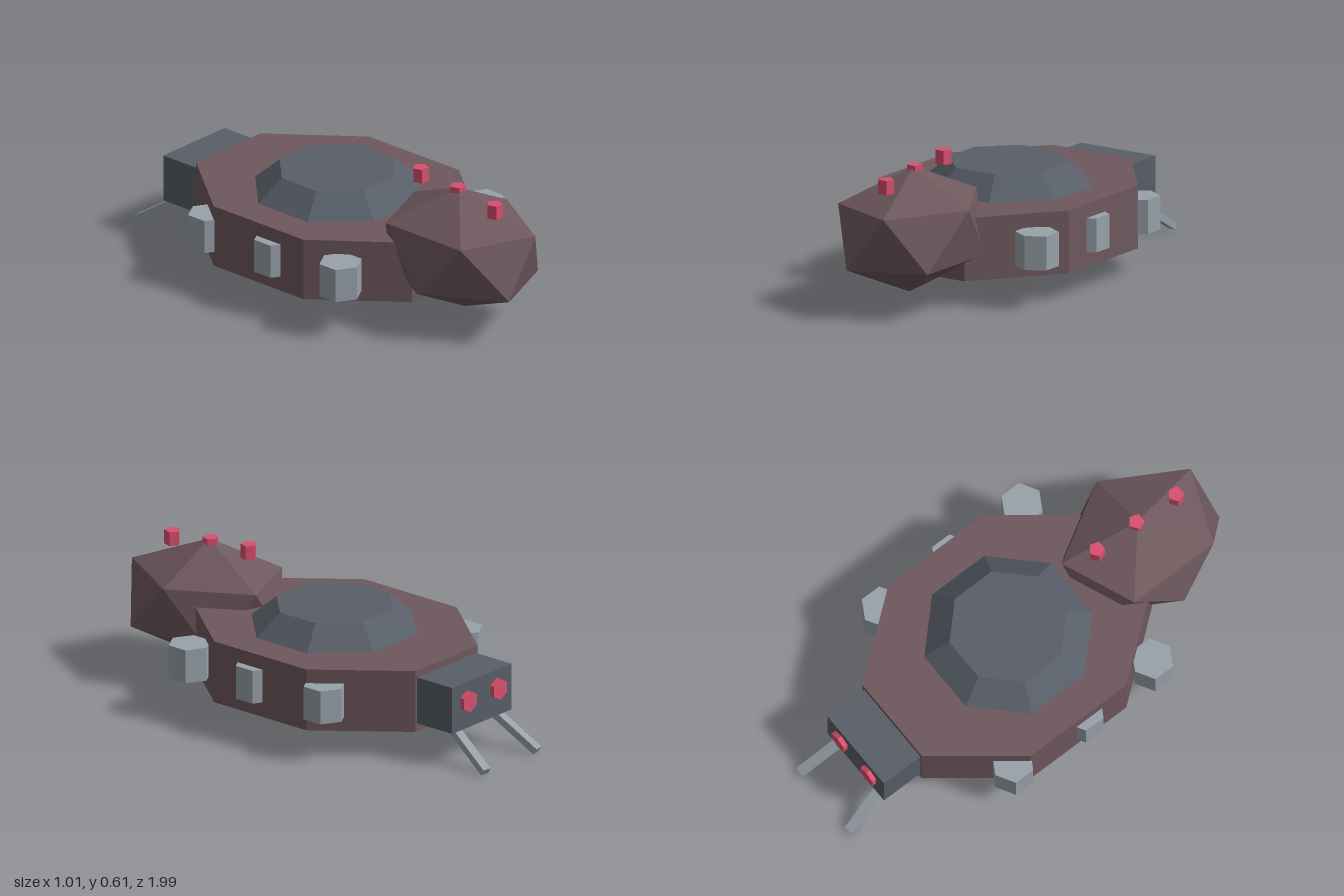
import * as THREE from 'three';

const paint = (color) => new THREE.MeshStandardMaterial({ color, flatShading: true });

export function createModel() {
  const model = new THREE.Group();
  const shell = paint(0x6e585d), slate = paint(0x585e68), steel = paint(0x98a1aa), red = paint(0xd9506e);

  const add = (name, geometry, material, x, y, z) => {
    const mesh = new THREE.Mesh(geometry, material);
    mesh.name = name;
    mesh.position.set(x, y, z);
    model.add(mesh);
    return mesh;
  };

  // Octagonal prism or frustum with flat sides facing the axes; sizes are half widths across flats
  const octagon = (top, bottom, height, stretch = 1) => {
    const k = 1 / Math.cos(Math.PI / 8);
    return new THREE.CylinderGeometry(top * k, bottom * k, height, 8)
      .rotateY(Math.PI / 8).scale(1, 1, stretch);
  };

  // Hull and raised deck
  add('hull', octagon(0.47, 0.47, 0.265, 1.27), shell, 0, 0.2445, -0.045);
  add('deck', octagon(0.23, 0.33, 0.095), slate, 0, 0.423, -0.04);

  // Head: stretched icosahedron standing on a point, built from two staggered rings of five
  const points = [0, 1, 0];
  for (let ring = 0; ring < 2; ring++) {
    for (let i = 0; i < 5; i++) {
      const a = (i * 2 + ring) * Math.PI / 5;
      points.push(0.894 * Math.cos(a), ring ? -0.447 : 0.447, 0.894 * Math.sin(a));
    }
  }
  points.push(0, -1, 0);
  const faces = [];
  for (let i = 0; i < 5; i++) {
    const u = 1 + i, u2 = 1 + (i + 1) % 5, l = u + 5, l2 = u2 + 5;
    faces.push(0, u2, u, u, u2, l, l, u2, l2, l, l2, 11);
  }
  const head = new THREE.BufferGeometry();
  head.setAttribute('position', new THREE.Float32BufferAttribute(points, 3));
  head.setIndex(faces);
  head.scale(0.313, 0.26, 0.392);
  // Slight backward lean
  const p = head.attributes.position;
  for (let i = 0; i < p.count; i++) p.setZ(i, p.getZ(i) - 0.06 * p.getY(i));
  head.computeVertexNormals();
  add('head', head, shell, 0, 0.325, 0.648);

  // Row of studs above the head, rising toward the back
  const stud = new THREE.CylinderGeometry(0.034, 0.034, 0.06, 5).rotateY(Math.PI);
  [[0.543, 0.83], [0.563, 0.625], [0.583, 0.42]].forEach(([y, z]) => add('headStud', stud, red, 0, y, z));

  // Tail block
  add('tailBlock', new THREE.BoxGeometry(0.37, 0.2, 0.24), slate, 0, 0.247, -0.711);

  const pod = new THREE.CylinderGeometry(0.09, 0.09, 0.143, 6);
  const light = new THREE.CylinderGeometry(0.046, 0.046, 0.05, 6).rotateX(Math.PI / 2);
  for (const side of [1, -1]) {
    const label = side > 0 ? 'left' : 'right';

    // Side pods
    for (const z of [0.37, 0.01, -0.355]) add(label + 'Pod', pod, steel, side * 0.429, 0.246, z);

    // Tail lights
    add(label + 'TailLight', light, red, side * 0.094, 0.266, -0.826);

    // Tail prongs, sloping down and outward
    const start = new THREE.Vector3(side * 0.127, 0.148, -0.785);
    const end = new THREE.Vector3(side * 0.161, 0.015, -0.991);
    const prong = add(label + 'Prong', new THREE.BoxGeometry(0.038, 0.03, start.distanceTo(end)), steel, 0, 0, 0);
    prong.position.copy(start).lerp(end, 0.5);
    prong.lookAt(end);
  }

  return model;
}
